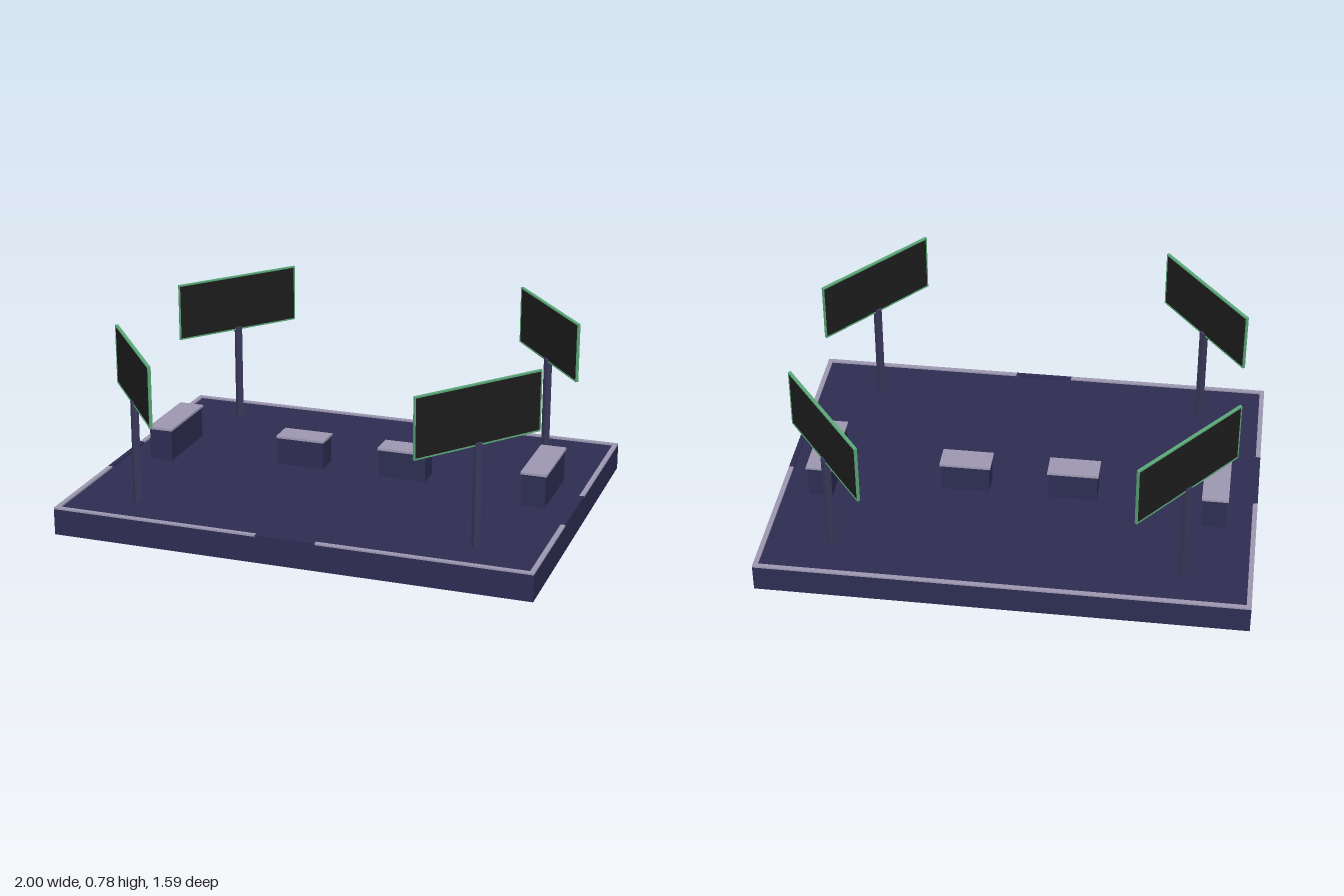
import * as THREE from 'three';

const mat = (name, color) => {
  const m = new THREE.MeshStandardMaterial({ color });
  m.name = name;
  return m;
};

export function createModel() {
  const navy = mat('navy', 0x2d2c52);
  const post = mat('post slate', 0x3b3a5c);
  const stone = mat('pale stone', 0x9c97b0);
  const black = mat('screen black', 0x1c1c1c);
  const green = mat('frame green', 0x5aa878);

  const root = new THREE.Group();
  root.name = 'plaza';

  // Box given by its limits on each axis
  const box = (parent, name, material, [x0, x1], [y0, y1], [z0, z1]) => {
    const m = new THREE.Mesh(new THREE.BoxGeometry(x1 - x0, y1 - y0, z1 - z0), material);
    m.position.set((x0 + x1) / 2, (y0 + y1) / 2, (z0 + z1) / 2);
    m.name = name;
    parent.add(m);
    return m;
  };

  // Ground slab
  const top = 0.11, rimY = [top, 0.117];
  box(root, 'slab', navy, [-1, 1], [0, top], [-0.75, 0.75]);

  // Pale rim, with navy thresholds at the front and side entrances
  const w = 0.02, inX = 1 - w, inZ = 0.75 - w;
  box(root, 'backRim', stone, [-1, 1], rimY, [-0.75, -inZ]);
  box(root, 'frontThreshold', navy, [-0.125, 0.125], rimY, [inZ, 0.75]);
  for (const s of [-1, 1]) {
    const side = (a, b) => (s < 0 ? [-b, -a] : [a, b]);
    box(root, 'frontRim', stone, side(0.125, 1), rimY, [inZ, 0.75]);
    box(root, 'sideRimBack', stone, side(inX, 1), rimY, [-inZ, -0.08]);
    box(root, 'sideThreshold', navy, side(inX, 1), rimY, [-0.08, 0.245]);
    box(root, 'sideRimFront', stone, side(inX, 1), rimY, [0.245, inZ]);

    // Long side bench and short centre bench, each with a stone cap
    box(root, 'sideBench', navy, side(0.775, 0.875), [top, 0.245], [-0.25, 0.08]);
    box(root, 'sideBenchCap', stone, side(0.77, 0.88), [0.245, 0.255], [-0.256, 0.086]);
    box(root, 'centreBench', navy, side(0.125, 0.33), [top, 0.228], [-0.136, -0.036]);
    box(root, 'centreBenchCap', stone, side(0.12, 0.335), [0.228, 0.238], [-0.141, -0.031]);
  }

  // Four corner billboards, turned across the corners and fitted to the slab's proportions
  for (const sx of [-1, 1]) {
    for (const sz of [-1, 1]) {
      const stand = new THREE.Group();
      stand.name = 'billboard';
      stand.position.set(sx * 0.7175, 0, sz * 0.5525);
      stand.scale.set(0.86, 1, 1.12);
      const turned = new THREE.Group();
      turned.name = 'billboardParts';
      turned.rotation.y = (sx * sz * Math.PI) / 4;
      stand.add(turned);
      root.add(stand);

      box(turned, 'post', post, [-0.015, 0.015], [top, 0.54], [-0.015, 0.015]);
      const H = 0.3, y0 = 0.527, y1 = 0.777, t = 0.006, e = 0.007;
      box(turned, 'screen', black, [-H + t, H - t], [y0 + t, y1 - t], [-0.005, 0.005]);
      box(turned, 'frameTop', green, [-H, H], [y1 - t, y1], [-e, e]);
      box(turned, 'frameBottom', green, [-H, H], [y0, y0 + t], [-e, e]);
      box(turned, 'frameLeft', green, [H - t, H], [y0 + t, y1 - t], [-e, e]);
      box(turned, 'frameRight', green, [-H, -H + t], [y0 + t, y1 - t], [-e, e]);
    }
  }
  return root;
}
